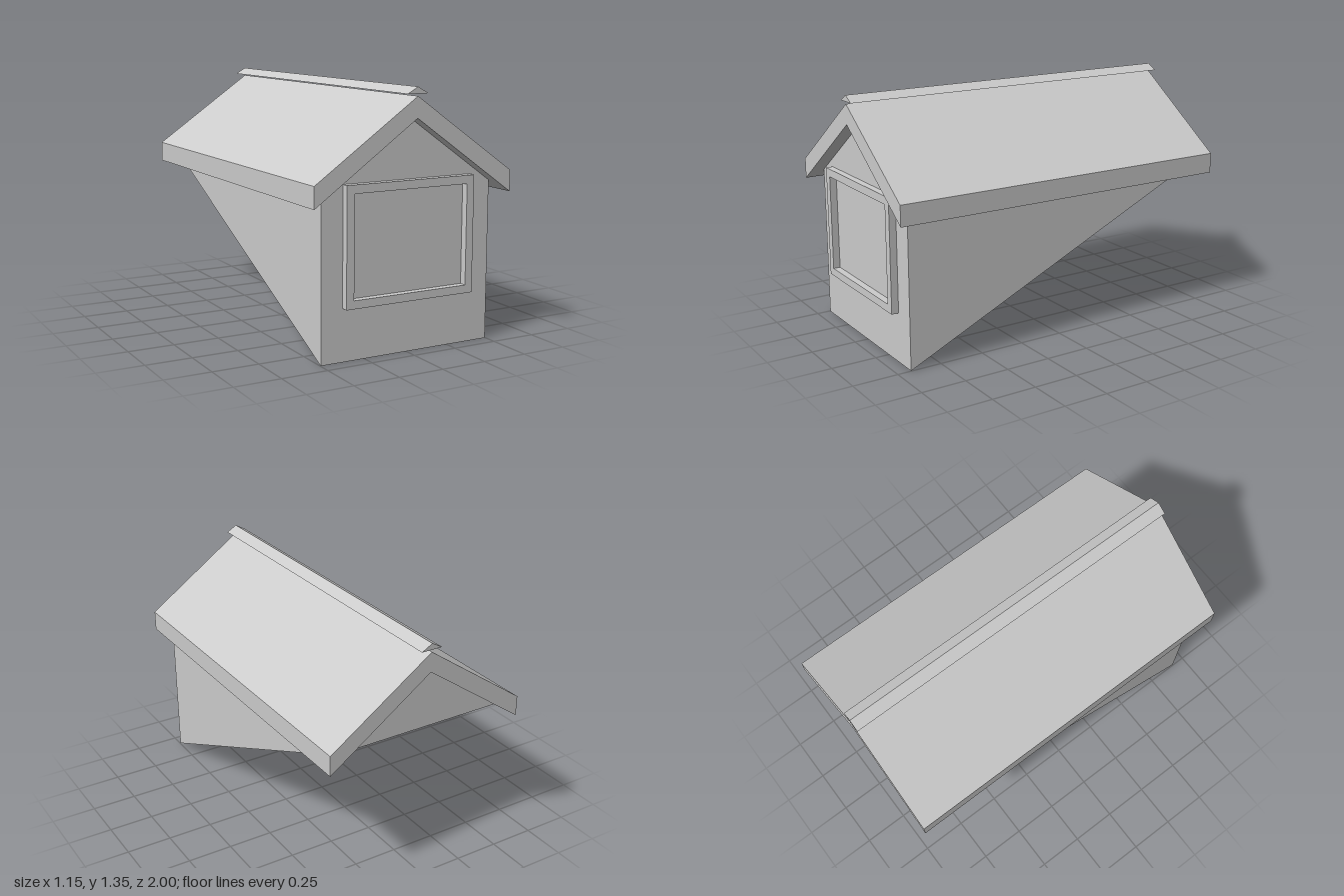
import * as THREE from 'three';

const material = new THREE.MeshStandardMaterial({ color: 0xcccccc, flatShading: true });
const wallMaterial = new THREE.MeshStandardMaterial({
  color: 0xcccccc, flatShading: true, side: THREE.DoubleSide,
});

function part(name, geometry, mat = material) {
  const mesh = new THREE.Mesh(geometry, mat);
  mesh.name = name;
  return mesh;
}

const toPoints = (pairs) => pairs.map(([x, y]) => new THREE.Vector2(x, y));

// Extrudes an outline (with optional hole) from z0 to z1
function prism(outline, z0, z1, hole) {
  const shape = new THREE.Shape(toPoints(outline));
  if (hole) shape.holes.push(new THREE.Path(toPoints(hole)));
  return new THREE.ExtrudeGeometry(shape, { depth: z1 - z0, bevelEnabled: false }).translate(0, 0, z0);
}

const rect = (w, y0, y1) => [[-w, y0], [w, y0], [w, y1], [-w, y1]];

// Thin walls, open along the sloped underside; the roof slab closes the top
function wallGeometry() {
  const w = 0.497, eave = 0.85, ridge = 1.2, z = 0.923;
  const corners = [
    [-w, 0, z], [w, 0, z], [w, eave, z], [0, ridge, z], [-w, eave, z],
    [w, eave, -z], [0, ridge, -z], [-w, eave, -z],
  ];
  const faces = [
    [0, 1, 2, 3, 4], // front wall
    [5, 7, 6],       // back gable
    [1, 5, 2],       // left cheek
    [0, 4, 7],       // right cheek
  ];
  const positions = [];
  for (const f of faces) {
    for (let i = 1; i < f.length - 1; i++) {
      positions.push(...corners[f[0]], ...corners[f[i]], ...corners[f[i + 1]]);
    }
  }
  const geometry = new THREE.BufferGeometry();
  geometry.setAttribute('position', new THREE.Float32BufferAttribute(positions, 3));
  geometry.computeVertexNormals();
  return geometry;
}

export function createModel() {
  const model = new THREE.Group();
  model.name = 'dormer';

  model.add(part('walls', wallGeometry(), wallMaterial));

  // Chevron roof slab
  model.add(part('roof', prism(
    [[-0.575, 0.795], [0, 1.2], [0.575, 0.795], [0.575, 0.907], [0, 1.308], [-0.575, 0.907]], -1, 1)));

  // Ridge cap just above the roof
  model.add(part('ridgeCap', prism([[-0.06, 1.32], [0.06, 1.32], [0, 1.354]], -1, 1)));

  // Raised window frame on the front wall
  model.add(part('windowFrame', prism(
    rect(0.375, 0.274, 0.891), 0.923, 0.962, rect(0.332, 0.317, 0.847))));

  return model;
}
